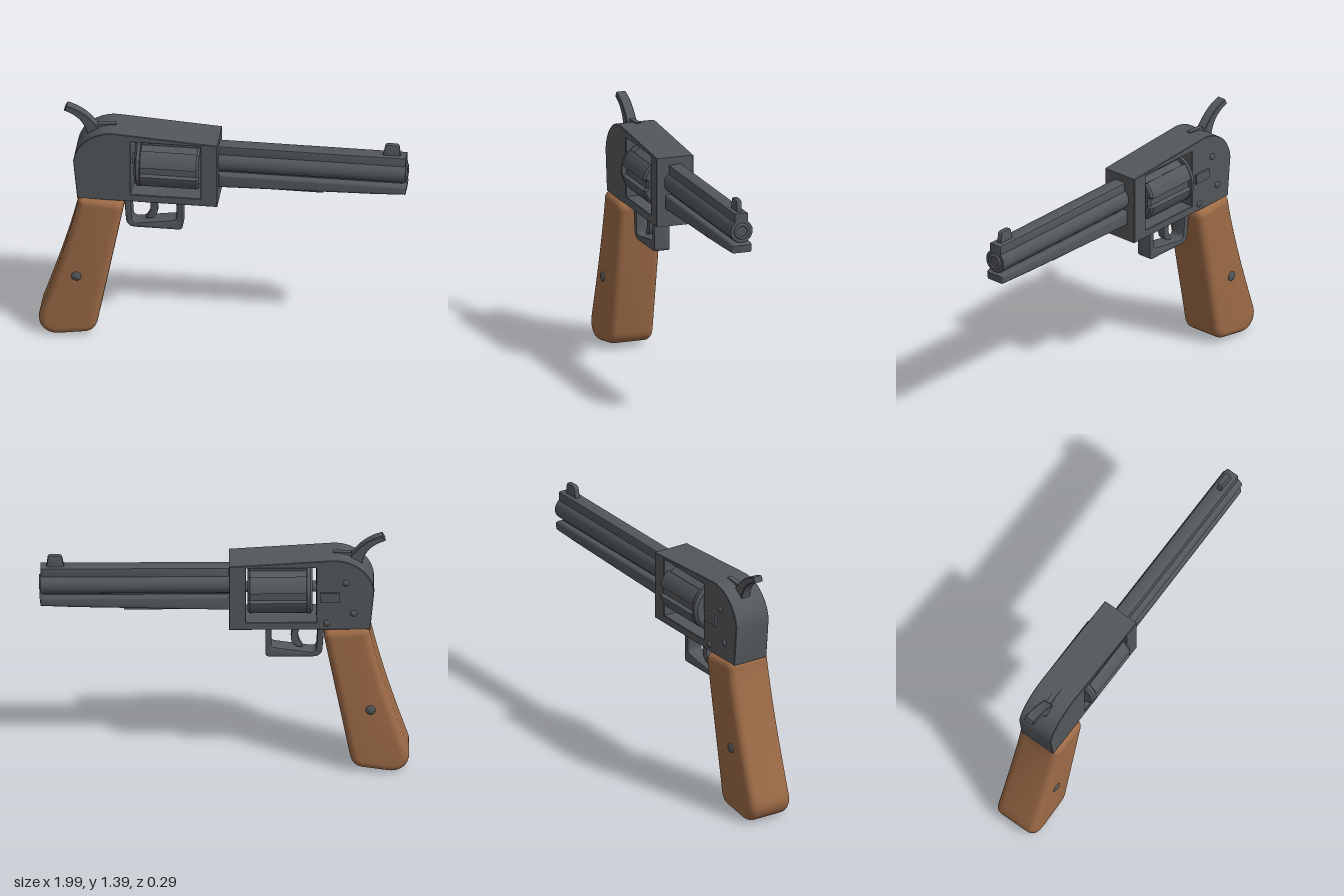
import * as THREE from 'three';
import { toCreasedNormals } from 'three/addons/utils/BufferGeometryUtils.js';

const steel = new THREE.MeshStandardMaterial({ color: 0x53575b });
steel.name = 'gunmetal';
const wood = new THREE.MeshStandardMaterial({ color: 0x9c6a46 });
wood.name = 'walnut';

export function createModel() {
  const group = new THREE.Group();
  group.name = 'revolver';

  const add = (name, geometry, material = steel, x = 0, y = 0, z = 0) => {
    const mesh = new THREE.Mesh(geometry, material);
    mesh.name = name;
    mesh.position.set(x, y, z);
    group.add(mesh);
    return mesh;
  };

  // Side profile extruded symmetrically about z = 0, with rounded edges kept inside the outline
  const slab = (shape, width, bevel = 0, segments = 2) => {
    const g = new THREE.ExtrudeGeometry(shape, {
      depth: width - 2 * bevel, curveSegments: 14, bevelEnabled: bevel > 0,
      bevelSize: bevel, bevelThickness: bevel, bevelOffset: -bevel, bevelSegments: segments,
    });
    g.translate(0, 0, -width / 2 + bevel);
    return toCreasedNormals(g, 0.6);
  };
  const polygon = (pts) => new THREE.Shape(pts.map(([x, y]) => new THREE.Vector2(x, y)));

  // Closed outline whose corners are rounded; each point is [x, y, radius]
  const rounded = (pts, Type = THREE.Shape) => {
    const s = new Type();
    pts.forEach(([x, y, r], i) => {
      const p = new THREE.Vector2(x, y);
      const toward = (q) => new THREE.Vector2(q[0], q[1]).sub(p).setLength(r).add(p);
      const a = toward(pts[(i + pts.length - 1) % pts.length]);
      const b = toward(pts[(i + 1) % pts.length]);
      if (i === 0) s.moveTo(a.x, a.y); else s.lineTo(a.x, a.y);
      s.quadraticCurveTo(x, y, b.x, b.y);
    });
    s.closePath();
    return s;
  };

  // Cylinder lying along x
  const rod = (r, length, sides = 32) =>
    new THREE.CylinderGeometry(r, r, length, sides).rotateZ(Math.PI / 2);

  // Frame with an open window
  const frame = new THREE.Shape();
  frame.moveTo(-0.03, 0.87);
  frame.lineTo(-0.03, 1.255);
  frame.lineTo(-0.59, 1.29);
  frame.bezierCurveTo(-0.69, 1.295, -0.8, 1.22, -0.812, 1.1);
  frame.lineTo(-0.79, 0.87);
  frame.closePath();
  frame.holes.push(polygon([[-0.5, 0.915], [-0.12, 0.915], [-0.12, 1.245], [-0.5, 1.245]]));
  add('frame', slab(frame, 0.212, 0.003, 1));

  // Fluted drum: six shallow grooves open at the front, a plain ring at the rear
  const drum = new THREE.Shape();
  const R = 0.147;
  for (let i = 0; i < 6; i++) {
    const c = (i * Math.PI) / 3;
    const half = 0.2;
    const on = (a, r) => [Math.cos(a) * r, Math.sin(a) * r];
    if (i === 0) drum.moveTo(...on(c - half, R));
    drum.lineTo(...on(c - half * 0.8, R - 0.022));
    drum.lineTo(...on(c + half * 0.8, R - 0.022));
    drum.lineTo(...on(c + half, R));
    drum.absarc(0, 0, R, c + half, c + Math.PI / 3 - half, false);
  }
  const drumBody = new THREE.ExtrudeGeometry(drum, {
    depth: 0.304, curveSegments: 10, bevelSize: 0.012, bevelThickness: 0.012,
    bevelOffset: -0.012, bevelSegments: 1,
  }).rotateY(Math.PI / 2);
  add('drum', toCreasedNormals(drumBody, 0.5), steel, -0.446, 1.08);
  const ring = new THREE.LatheGeometry([[0, 0.03], [R, 0.03], [R, 0.012], [0.132, 0], [0, 0]]
    .map(([r, h]) => new THREE.Vector2(r, h)).reverse(), 48).rotateZ(-Math.PI / 2);
  add('drumRing', toCreasedNormals(ring, 0.5), steel, -0.48, 1.08);
  add('drumAxle', rod(0.03, 0.4, 20), steel, -0.31, 1.08);

  // Barrel, muzzle and top rib
  add('barrel', rod(0.063, 1.015, 40), steel, 0.4775, 1.113);
  add('muzzleRing', new THREE.TorusGeometry(0.036, 0.009, 10, 32).rotateY(Math.PI / 2), steel, 0.985, 1.113);
  add('muzzleCore', rod(0.03, 0.01, 24), steel, 0.984, 1.113);
  add('topRib', slab(polygon([[-0.03, 1.13], [0.985, 1.13], [0.985, 1.213], [-0.03, 1.213]]), 0.078, 0.008, 2));

  // Tapering lug and rod beneath the barrel
  add('underLug', slab(polygon([[-0.03, 0.965], [0.8, 0.985], [0.985, 0.993], [0.99, 1.035],
    [0.97, 1.048], [-0.03, 1.048]]), 0.12, 0.014, 3));
  add('lugWeb', new THREE.BoxGeometry(1.0, 0.06, 0.05), steel, 0.47, 1.05);
  add('ejectorRod', new THREE.BoxGeometry(0.565, 0.03, 0.04), steel, 0.2525, 0.968);

  // Sights
  add('frontSight', slab(rounded([[0.855, 1.2, 0.005], [0.955, 1.2, 0.005], [0.945, 1.277, 0.015],
    [0.872, 1.277, 0.015]]), 0.03, 0.006));
  add('rearSight', new THREE.BoxGeometry(0.1, 0.02, 0.028), steel, -0.64, 1.284).rotation.z = 0.06;

  // Curved hammer
  const hammer = new THREE.Shape();
  hammer.moveTo(-0.872, 1.368);
  hammer.lineTo(-0.858, 1.398);
  hammer.bezierCurveTo(-0.77, 1.375, -0.73, 1.33, -0.67, 1.255);
  hammer.lineTo(-0.7, 1.2);
  hammer.lineTo(-0.745, 1.22);
  hammer.bezierCurveTo(-0.755, 1.3, -0.8, 1.345, -0.872, 1.368);
  add('hammer', slab(hammer, 0.056, 0.004, 1));

  // Trigger guard and trigger
  const guard = rounded([[-0.545, 0.88, 0.003], [-0.53, 0.672, 0.05], [-0.226, 0.672, 0.022], [-0.226, 0.88, 0.003]]);
  guard.holes.push(rounded([[-0.508, 0.86, 0.015], [-0.258, 0.86, 0.004], [-0.258, 0.732, 0.02],
    [-0.5, 0.695, 0.035]], THREE.Path));
  add('triggerGuard', slab(guard, 0.09, 0.006, 2));
  const trigger = new THREE.Shape();
  trigger.moveTo(-0.45, 0.885);
  trigger.bezierCurveTo(-0.39, 0.83, -0.39, 0.77, -0.43, 0.72);
  trigger.bezierCurveTo(-0.38, 0.71, -0.355, 0.75, -0.365, 0.8);
  trigger.lineTo(-0.385, 0.885);
  trigger.closePath();
  add('trigger', slab(trigger, 0.044, 0.005, 2));

  // Wooden grip
  const grip = new THREE.Shape();
  grip.moveTo(-0.79, 0.84);
  grip.quadraticCurveTo(-0.79, 0.882, -0.745, 0.88);
  grip.lineTo(-0.58, 0.868);
  grip.quadraticCurveTo(-0.535, 0.863, -0.543, 0.81);
  grip.lineTo(-0.68, 0.1);
  grip.quadraticCurveTo(-0.69, 0.04, -0.74, 0.027);
  grip.lineTo(-0.89, 0.004);
  grip.bezierCurveTo(-0.96, -0.005, -1.01, 0.05, -0.998, 0.12);
  grip.bezierCurveTo(-0.91, 0.38, -0.84, 0.6, -0.79, 0.84);
  add('grip', slab(grip, 0.258, 0.042, 5), wood);

  // Domed screws: one through each grip face, three on the right side of the frame
  const screw = (name, x, y, z, r) => {
    const h = 0.012;
    const g = new THREE.LatheGeometry([[r, -h], [r, h * 0.3], [r * 0.75, h * 0.8], [0, h]]
      .map(([a, b]) => new THREE.Vector2(a, b)), 20).rotateX(Math.PI / 2);
    if (z < 0) g.rotateY(Math.PI);
    add(name, g, steel, x, y, z);
  };
  for (const side of [1, -1]) screw('gripScrew', -0.792, 0.39, side * 0.127, 0.027);
  for (const [x, y] of [[-0.66, 1.155], [-0.7, 0.97], [-0.555, 0.91]]) screw('frameScrew', x, y, -0.106, 0.018);

  // Latch on the right side of the frame
  add('latch', new THREE.BoxGeometry(0.105, 0.055, 0.02), steel, -0.572, 1.07, -0.108);

  return group;
}
